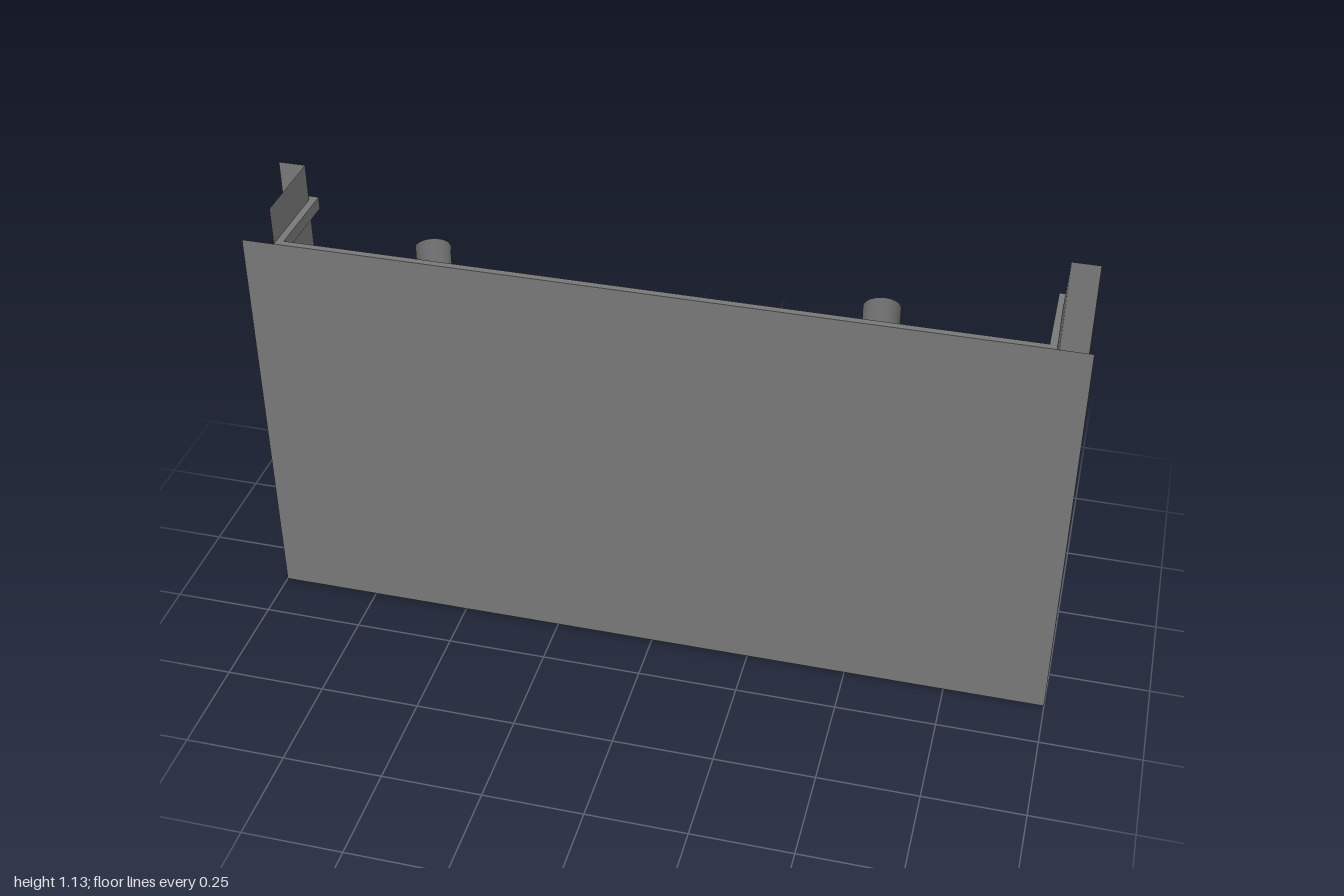
import * as THREE from 'three';

const material = new THREE.MeshStandardMaterial({ color: 0x7a7a7a, side: THREE.DoubleSide });

const FRONT = 0.119, BACK = -0.1, SIDE = 0.919, WALL_H = 1.04, SIDE_H = 1.135;

export function createModel() {
  const group = new THREE.Group();

  function add(name, geometry, x = 0, y = 0, z = 0) {
    const mesh = new THREE.Mesh(geometry, material);
    mesh.name = name;
    mesh.position.set(x, y, z);
    group.add(mesh);
    return mesh;
  }

  // Extrudes a plan outline of [x, z] points from y0 up to y1
  function plan(name, points, y0, y1) {
    const shape = new THREE.Shape(points.map(([x, z]) => new THREE.Vector2(x, z)));
    const geometry = new THREE.ExtrudeGeometry(shape, { depth: y1 - y0, bevelEnabled: false });
    geometry.rotateX(Math.PI / 2);
    return add(name, geometry, 0, y1, 0);
  }

  // Thin front wall, which overhangs the side plates
  add('frontWall', new THREE.PlaneGeometry(2, WALL_H), 0, WALL_H / 2, FRONT);

  for (const s of [1, -1]) {
    const label = s > 0 ? 'left' : 'right';

    // Side plate running back from the wall
    const side = new THREE.PlaneGeometry(FRONT - BACK, SIDE_H);
    side.rotateY(s * Math.PI / 2);
    add(label + 'SidePlate', side, s * SIDE, SIDE_H / 2, (FRONT + BACK) / 2);

    // Flange turned outward at the back
    const flange = new THREE.PlaneGeometry(0.068, SIDE_H);
    flange.rotateY(Math.PI);
    add(label + 'BackFlange', flange, s * (SIDE + 0.034), SIDE_H / 2, BACK);

    // Low strip along the outer foot of the side plate
    add(label + 'FootStrip', new THREE.BoxGeometry(0.009, 0.038, 0.17), s * (SIDE + 0.0045), 0.024, -0.015);

    // Angle trim with a bevelled inner corner
    const t = 0.009, w = 0.035, c = 0.02;
    plan(label + 'CornerTrim', [
      [s * SIDE, FRONT], [s * (SIDE - w), FRONT],
      [s * (SIDE - w), FRONT - t], [s * (SIDE - c), FRONT - t],
      [s * (SIDE - t), FRONT - c],
      [s * (SIDE - t), FRONT - w], [s * SIDE, FRONT - w],
    ], 0.006, 0.82);

    // Half-round post on the back of the wall
    const r = 0.043;
    const post = new THREE.CylinderGeometry(r, r, 1.075, 24, 1, true, Math.PI / 2, Math.PI);
    add(label + 'HalfPost', post, s * 0.527, 0.5375, 0.099);

    // Collar round the foot of the post, heavier on the right
    const rim = r + (s > 0 ? 0.001 : 0.005);
    const profile = [[r, 0], [rim, 0], [rim, 0.02], [r, 0.02]].map(([x, y]) => new THREE.Vector2(x, y));
    const collar = new THREE.LatheGeometry(profile, 24, Math.PI / 2, Math.PI).toNonIndexed();
    collar.computeVertexNormals();
    add(label + 'PostCollar', collar, s * 0.527, 0.002, 0.099);
  }

  // Trim bands following the wall, both side plates and both flanges
  const bands = [
    ['topBand', 1.008, WALL_H, 0.018],
    ['upperBand', 0.82, 0.88, 0.012],
    ['bottomBand', 0.006, 0.043, 0.006],
  ];
  const half = (d) => [[0.975, BACK - d], [SIDE - d, BACK - d], [SIDE - d, FRONT - d]];
  const mirror = (points) => points.map(([x, z]) => [-x, z]).reverse();
  for (const [name, y0, y1, t] of bands) {
    const outer = half(0), inner = half(t);
    const back = [...inner, ...mirror(inner)].reverse();
    plan(name, [...outer, ...mirror(outer), ...back], y0, y1);
  }

  // Flat band across the middle of the wall
  add('middleBand', new THREE.BoxGeometry(2 * SIDE - 0.01, 0.06, 0.006), 0, 0.34, FRONT - 0.003);

  return group;
}
